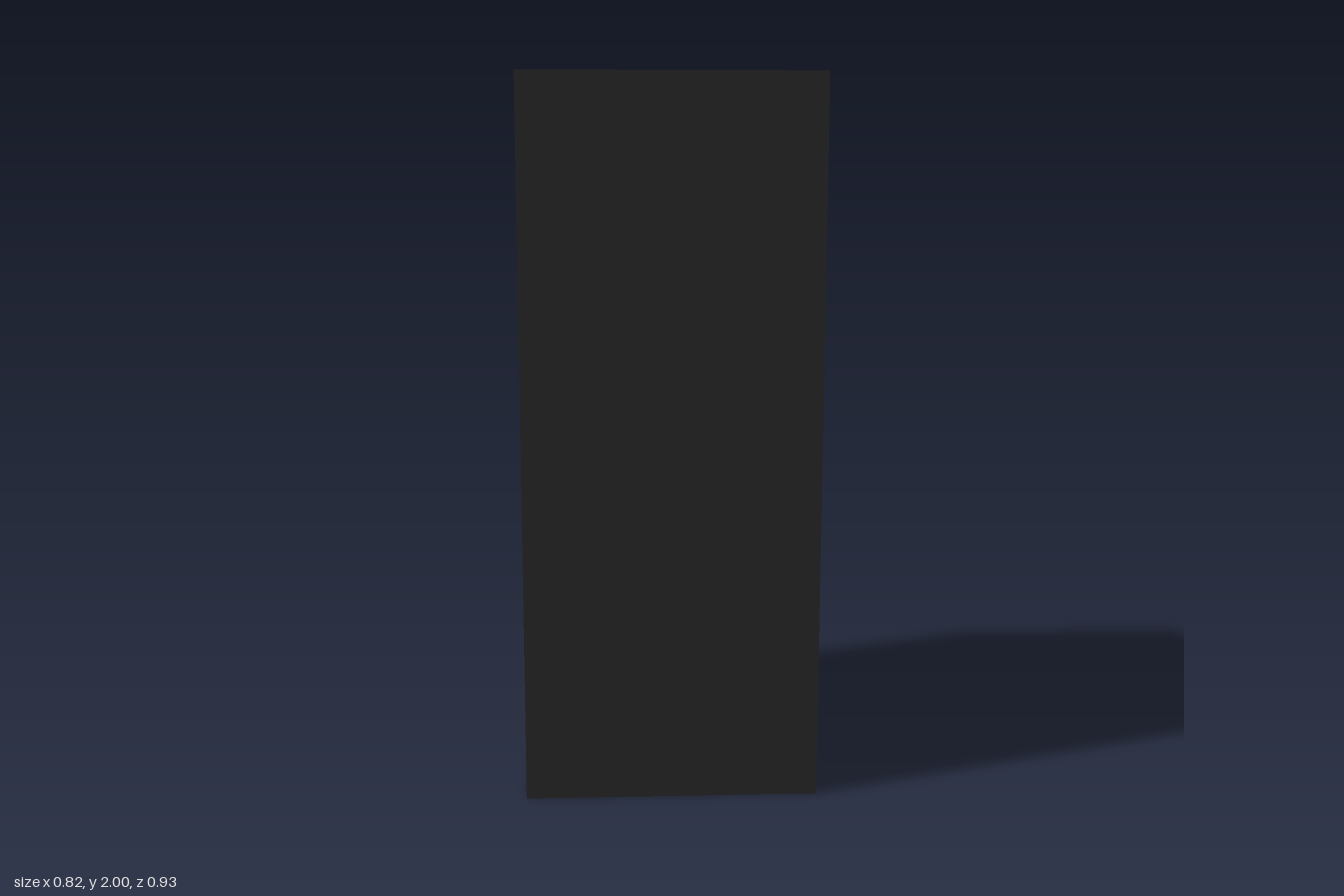
import * as THREE from 'three';

const W = 0.41;           // half width
const H = 2;              // height
const FRONT = 0.463;      // front of the cabinet
const JOINT = -0.355;     // where the door meets the cabinet
const DOOR = -0.41;       // outer face of the door
const BACK = -0.463;      // outer face of the handle

function material(color) {
  return new THREE.MeshStandardMaterial({ color });
}

// Box given by its lower and upper corners
function box(name, a, b, mat) {
  const g = new THREE.BoxGeometry(b[0] - a[0], b[1] - a[1], b[2] - a[2]);
  g.translate((a[0] + b[0]) / 2, (a[1] + b[1]) / 2, (a[2] + b[2]) / 2);
  const mesh = new THREE.Mesh(g, mat);
  mesh.name = name;
  return mesh;
}

// Outline in x, y extruded from z0 to z1
function plate(name, shape, z0, z1, mat) {
  const g = new THREE.ExtrudeGeometry(shape, { depth: z1 - z0, bevelEnabled: false });
  g.translate(0, 0, z0);
  const mesh = new THREE.Mesh(g, mat);
  mesh.name = name;
  return mesh;
}

function polygon(points) {
  return new THREE.Shape(points.map(([x, y]) => new THREE.Vector2(x, y)));
}

function rectangle(x, y0, y1) {
  return polygon([[-x, y0], [x, y0], [x, y1], [-x, y1]]);
}

export function createModel() {
  const model = new THREE.Group();
  model.name = 'glassDoorCabinet';
  const black = material(0x252525);
  const grey = material(0xcccccc);
  const glass = material(0x9fe3e8);

  // Cabinet body
  model.add(box('cabinet', [-W, 0, JOINT], [W, H, FRONT], black));

  // Door: frame with a recessed pane and a handle
  const door = new THREE.Group();
  door.name = 'door';
  const inner = W - 0.04;
  const frame = rectangle(W, 0, H);
  frame.holes.push(rectangle(inner, 0.1, H - 0.1));
  door.add(plate('doorFrame', frame, DOOR, JOINT, grey));
  door.add(box('glassPane', [-inner, 0.1, JOINT - 0.025], [inner, H - 0.1, JOINT], glass));

  // Handle block with a slightly sloping top
  const grip = polygon([[-W, 1], [-inner, 1], [-inner, 1.17], [-W, 1.185]]);
  door.add(plate('handle', grip, BACK, DOOR, grey));
  model.add(door);

  return model;
}
